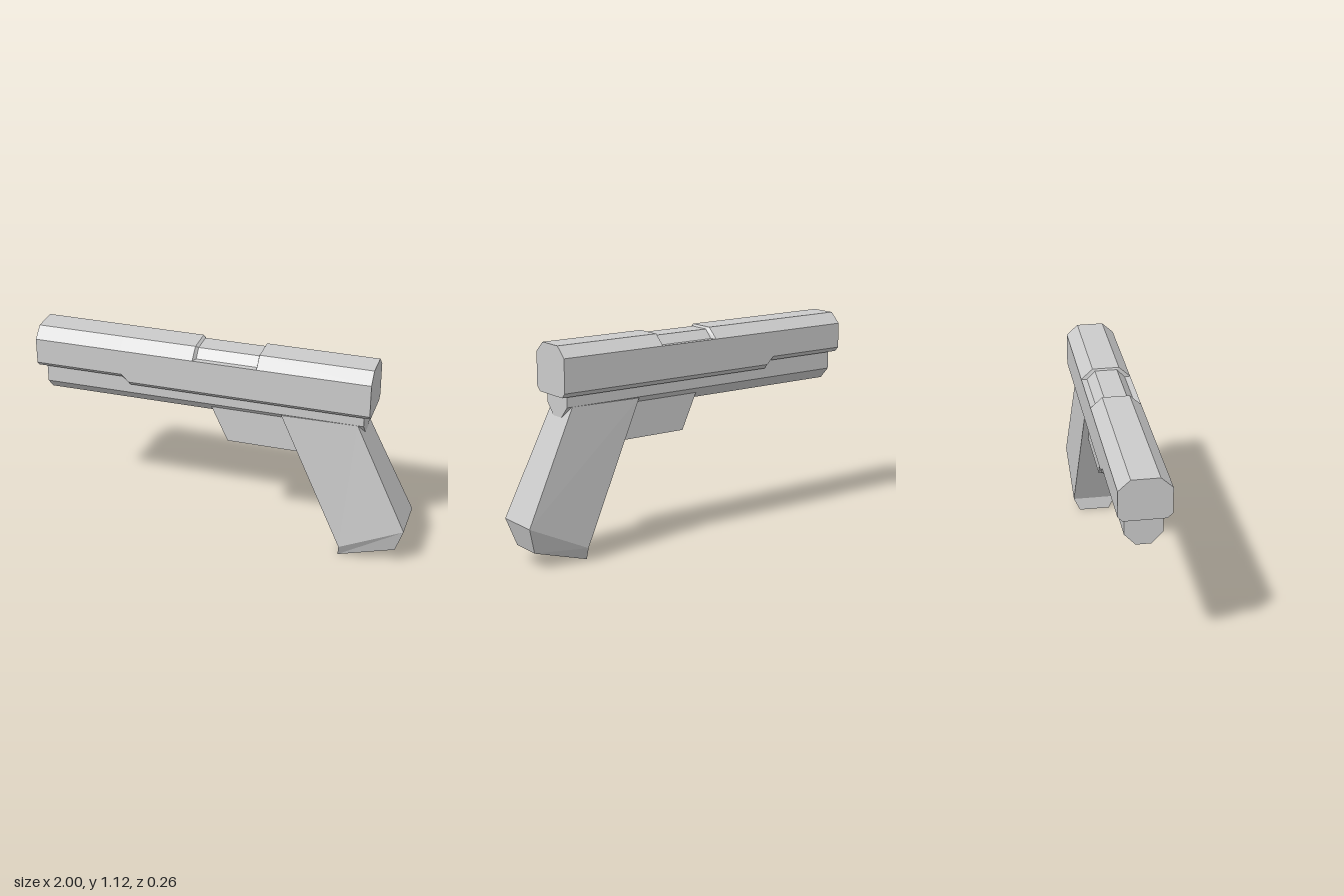
import * as THREE from 'three';

const material = new THREE.MeshStandardMaterial({ color: 0xcccccc, flatShading: true });

// Closed solid through matching rings of points, with both ends capped.
function loft(rings) {
  const pos = [];
  const tri = (a, b, c) => {
    const area = b.clone().sub(a).cross(c.clone().sub(a)).length();
    if (area > 1e-8) for (const p of [a, b, c]) pos.push(p.x, p.y, p.z);
  };
  const n = rings[0].length;
  for (let i = 0; i < rings.length - 1; i++) {
    for (let j = 0; j < n; j++) {
      const k = (j + 1) % n;
      tri(rings[i][j], rings[i][k], rings[i + 1][k]);
      tri(rings[i][j], rings[i + 1][k], rings[i + 1][j]);
    }
  }
  const first = rings[0], last = rings[rings.length - 1];
  for (let j = 1; j < n - 1; j++) {
    tri(first[0], first[j + 1], first[j]);
    tri(last[0], last[j], last[j + 1]);
  }
  const geometry = new THREE.BufferGeometry();
  geometry.setAttribute('position', new THREE.Float32BufferAttribute(pos, 3));
  geometry.computeVertexNormals();
  return geometry;
}

// Ring across x from a half profile of [half width, y], top to bottom.
function mirroredRing(x, half) {
  const near = half.map(([z, y]) => new THREE.Vector3(x, y, z));
  const far = half.map(([z, y]) => new THREE.Vector3(x, y, -z)).reverse();
  return [...near, ...far];
}

// Slide section: underside height and whether the top is cut down.
function slideRing(x, bottom, cut) {
  const top = cut ? [[0.058, 1.105], [0.1, 1.06]] : [[0.07, 1.115], [0.13, 1.06]];
  return mirroredRing(x, [...top, [0.13, 1.06], [0.13, bottom + 0.025], [0.105, bottom]]);
}

// Four-cornered grip section between a front and a rear [x, y].
function gripRing([x0, y0], [x1, y1], w) {
  return [[x0, y0, w], [x1, y1, w], [x1, y1, -w], [x0, y0, -w]].map(p => new THREE.Vector3(...p));
}

export function createModel() {
  const group = new THREE.Group();
  const add = (name, geometry) => {
    const mesh = new THREE.Mesh(geometry, material);
    mesh.name = name;
    group.add(mesh);
  };

  // Slide with a stepped underside and a shallow cut in the top
  add('slide', loft([
    slideRing(-1, 0.9, false),
    slideRing(-0.53, 0.9, false),
    slideRing(-0.49, 0.86, false),
    slideRing(-0.14, 0.86, false),
    slideRing(-0.127, 0.86, true),
    slideRing(0.195, 0.86, true),
    slideRing(0.2, 0.86, false),
    slideRing(0.79, 0.86, false),
  ]));

  // Frame with a chamfered underside
  const frameHalf = [[0.093, 0.91], [0.093, 0.805], [0.037, 0.745]];
  add('frame', loft([mirroredRing(-0.96, frameHalf), mirroredRing(0.755, frameHalf)]));

  // Solid trigger guard running back into the grip
  const guard = new THREE.Shape([[-0.083, 0.83], [0.03, 0.585], [0.5, 0.585], [0.5, 0.83]]
    .map(p => new THREE.Vector2(...p)));
  const guardWidth = 0.13;
  add('triggerGuard', new THREE.ExtrudeGeometry(guard, { depth: guardWidth, bevelEnabled: false })
    .translate(0, 0, -guardWidth / 2));

  // Raked grip, widening downwards, with a tapered foot
  add('grip', loft([
    gripRing([0.65, 0], [0.955, 0.09], 0.086),
    gripRing([0.66, 0.07], [1, 0.23], 0.12),
    gripRing([0.325, 0.8], [0.725, 0.805], 0.094),
  ]));

  return group;
}
